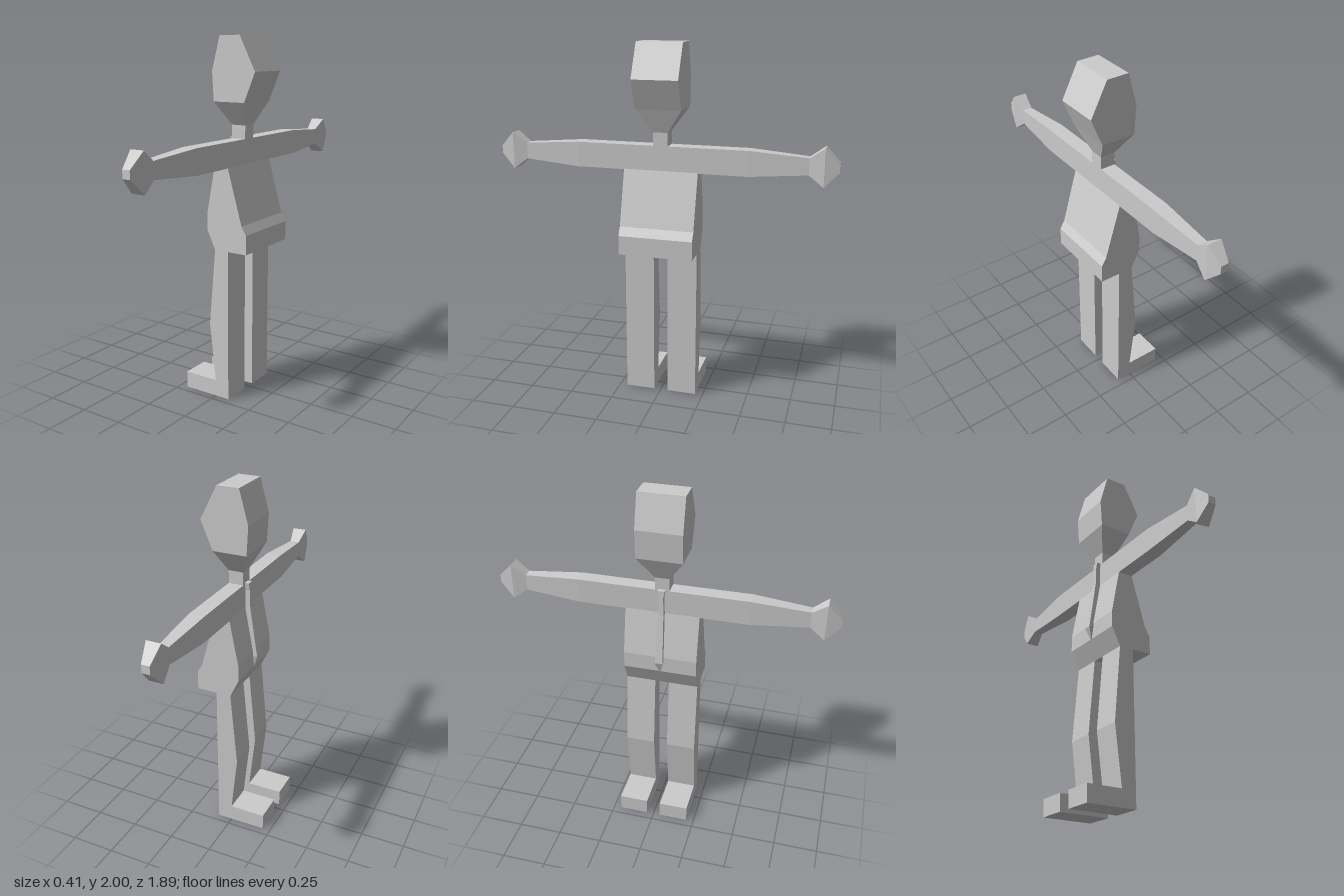
import * as THREE from 'three';

const material = new THREE.MeshStandardMaterial({ color: 0xcccccc, flatShading: true });

function part(name, geometry) {
  const mesh = new THREE.Mesh(geometry, material);
  mesh.name = name;
  return mesh;
}

// Side profile (x, y) given a thickness from z0 to z1.
function slab(profile, z0, z1) {
  const shape = new THREE.Shape(profile.map(([x, y]) => new THREE.Vector2(x, y)));
  const geometry = new THREE.ExtrudeGeometry(shape, { depth: z1 - z0, bevelEnabled: false });
  return geometry.translate(0, 0, z0);
}

// Rectangular sections [y, x0, x1, halfZ] joined from bottom to top.
function loft(sections) {
  const points = [];
  const index = [];
  for (const [y, x0, x1, h] of sections) {
    points.push(x0, y, h, x1, y, h, x1, y, -h, x0, y, -h);
  }
  for (let i = 0; i < sections.length - 1; i++) {
    for (let k = 0; k < 4; k++) {
      const a = i * 4 + k, b = i * 4 + (k + 1) % 4;
      index.push(a, b, b + 4, a, b + 4, a + 4);
    }
  }
  const t = (sections.length - 1) * 4;
  index.push(0, 2, 1, 0, 3, 2, t, t + 1, t + 2, t, t + 2, t + 3);
  const geometry = new THREE.BufferGeometry();
  geometry.setAttribute('position', new THREE.Float32BufferAttribute(points, 3));
  geometry.setIndex(index);
  const flat = geometry.toNonIndexed();
  flat.computeVertexNormals();
  return flat;
}

export function createModel() {
  const model = new THREE.Group();
  model.name = 'figure';

  // Torso with a flared coat tail
  model.add(part('torso', slab([
    [0, 0.862], [0.2, 0.862], [0.2, 0.968], [0.172, 1.015], [0.085, 1.32],
    [0.085, 1.455], [0, 1.455], [0, 1.32], [-0.05, 1.06], [-0.05, 0.968],
  ], -0.207, 0.207)));

  // Neck and head
  model.add(part('neck', loft([[1.45, 0, 0.085, 0.04], [1.528, 0, 0.085, 0.04]])));
  model.add(part('head', loft([
    [1.528, 0, 0.085, 0.04], [1.655, -0.06, 0.133, 0.126],
    [1.815, -0.07, 0.2, 0.126], [2, -0.02, 0.105, 0.126],
  ])));

  // Necktie
  model.add(part('necktie', loft([
    [0.965, -0.052, -0.04, 0.004], [1.035, -0.076, -0.035, 0.022],
    [1.32, -0.03, 0.01, 0.015], [1.42, -0.026, 0.01, 0.013], [1.462, -0.024, 0.01, 0.02],
  ])));

  // Legs with feet
  const legProfile = [
    [0.085, 0.862], [0, 0.862], [-0.038, 0.43], [0, 0.095],
    [-0.205, 0.095], [-0.205, 0], [0.085, 0],
  ];
  model.add(part('legNear', slab(legProfile, 0.04, 0.207)));
  model.add(part('legFar', slab(legProfile, -0.207, -0.04)));

  // Outstretched arms and faceted hands
  for (const side of [1, -1]) {
    const arm = new THREE.Group();
    arm.name = side > 0 ? 'armNear' : 'armFar';
    arm.add(part('sleeve', loft([
      [0.2, 0, 0.085, 0.069], [0.475, 0, 0.085, 0.069], [0.788, 0.015, 0.07, 0.045],
    ])));
    arm.add(part('hand', loft([
      [0.788, 0.015, 0.07, 0.045], [0.867, 0.003, 0.083, 0.103], [0.945, 0.02, 0.065, 0.022],
    ])));
    arm.rotation.x = side * Math.PI / 2;
    arm.position.y = 1.386;
    model.add(arm);
  }
  return model;
}
